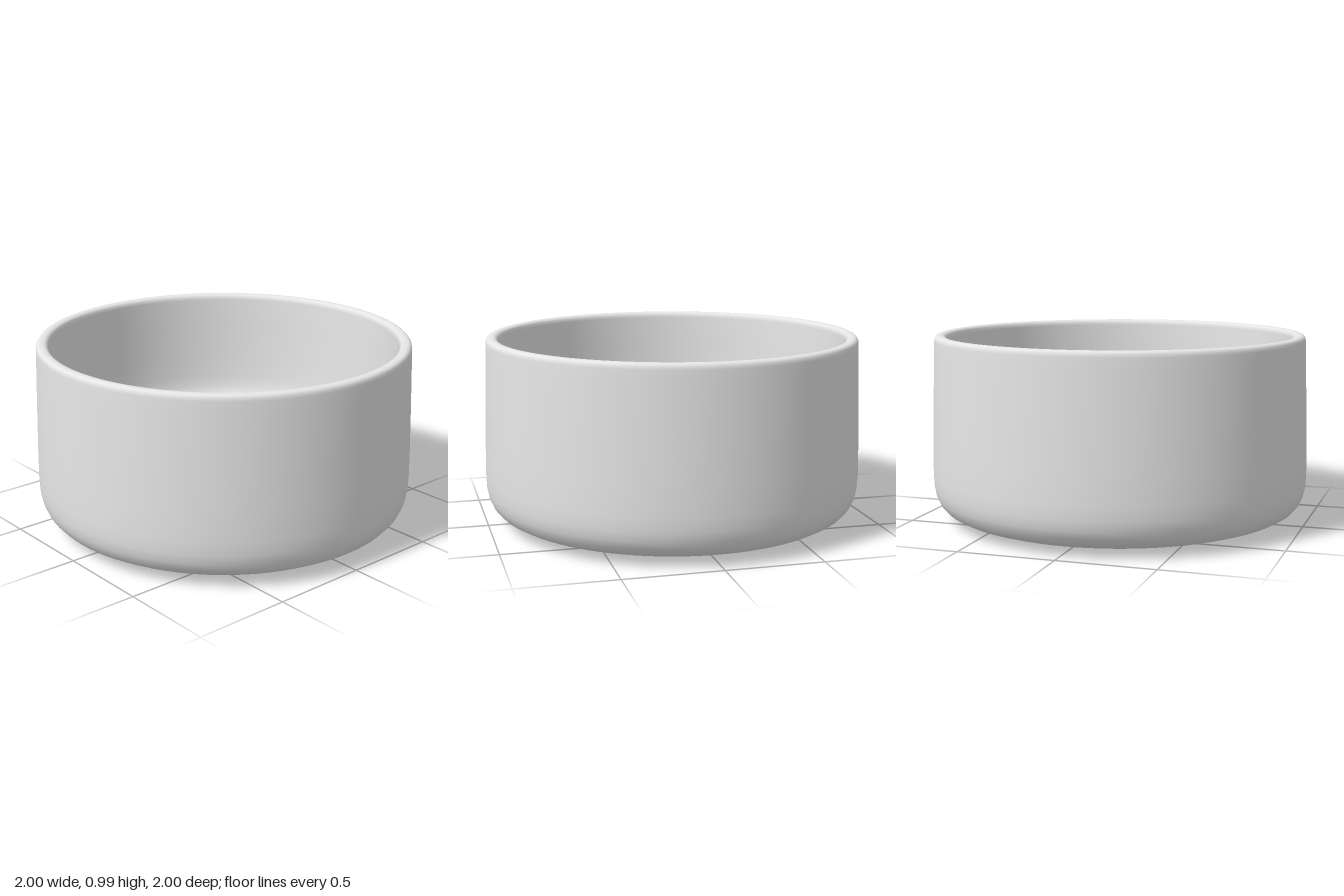
import * as THREE from 'three';

const SEGMENTS = 96;

// Revolve [radius, height] points, listed from the underside outward and up
function revolve(name, points, material) {
  const profile = points.map(([r, y]) => new THREE.Vector2(r, y));
  const mesh = new THREE.Mesh(new THREE.LatheGeometry(profile, SEGMENTS), material);
  mesh.name = name;
  return mesh;
}

export function createModel() {
  const group = new THREE.Group();
  group.name = 'roundBasin';
  const ceramic = new THREE.MeshStandardMaterial({ color: 0xe6e6e6 });
  ceramic.name = 'light grey ceramic';

  // Flat foot under the bowl
  group.add(revolve('foot', [[0, 0], [0.59, 0]], ceramic));

  // One continuous shell: rounded base, tapering wall, soft rim, inner wall and floor
  group.add(revolve('bowl', [
    // base and outer wall
    [0.59, 0], [0.68, 0.005], [0.77, 0.014], [0.85, 0.029], [0.9, 0.046], [0.94, 0.069],
    [0.968, 0.1], [0.986, 0.14], [0.996, 0.19], [0.999, 0.26], [0.997, 0.4], [0.99, 0.65],
    [0.982, 0.9], [0.98, 0.955],
    // rim
    [0.978, 0.97], [0.971, 0.98], [0.96, 0.985], [0.94, 0.985],
    [0.927, 0.981], [0.919, 0.972], [0.915, 0.955],
    // inner wall curving into the floor
    [0.91, 0.8], [0.902, 0.6], [0.895, 0.48], [0.887, 0.425], [0.872, 0.385],
    [0.847, 0.355], [0.8, 0.334], [0.7, 0.32], [0.5, 0.31], [0.188, 0.305],
  ], ceramic));

  // Recessed seat around the drain
  group.add(revolve('drainSeat', [[0.188, 0.305], [0.184, 0.287], [0, 0.287]], ceramic));

  // Domed drain cap
  group.add(revolve('drainCap', [
    [0.174, 0.287], [0.177, 0.306], [0.174, 0.315], [0.163, 0.321],
    [0.12, 0.329], [0.06, 0.334], [0, 0.336],
  ], ceramic));

  return group;
}
